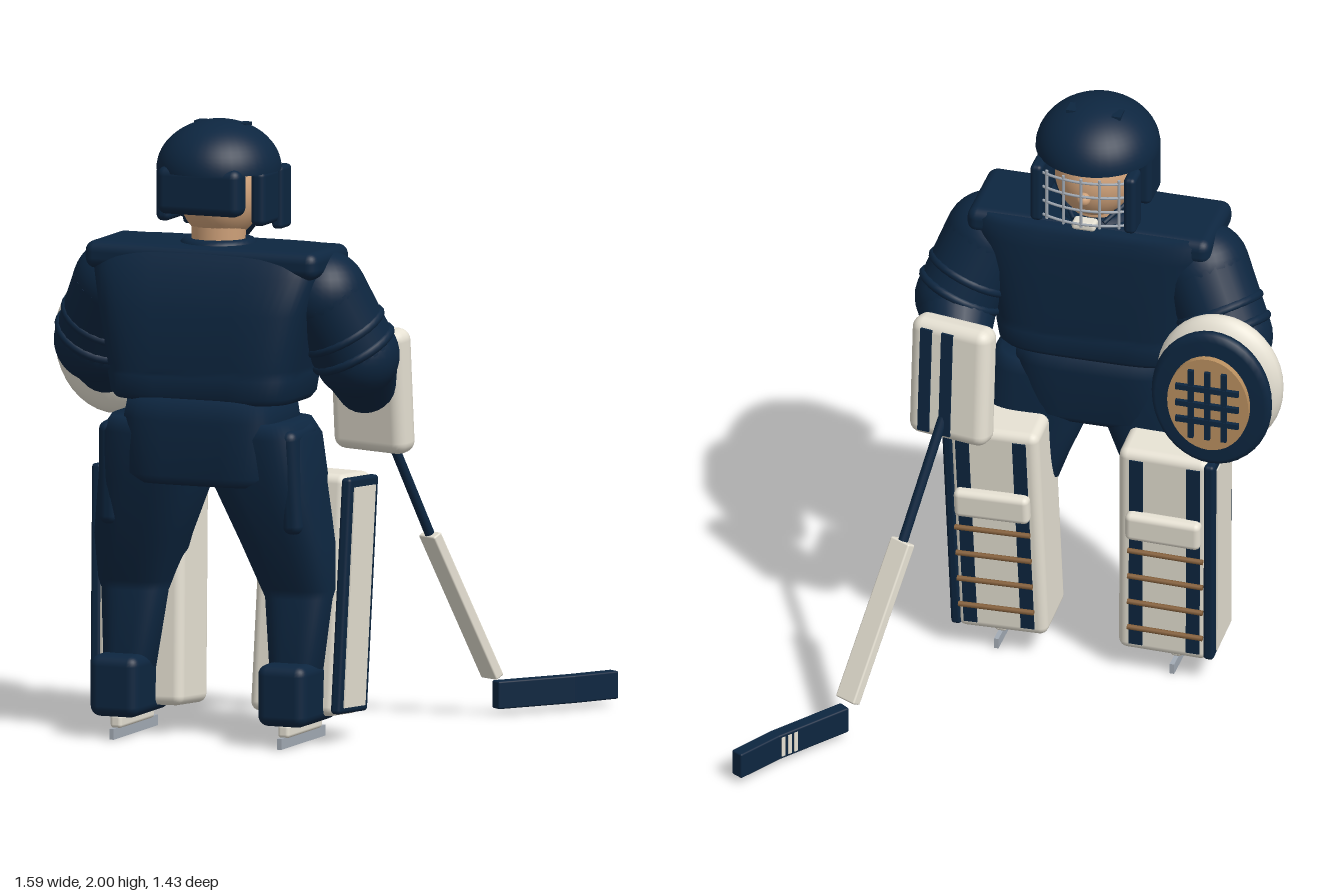
import * as THREE from 'three';
import { RoundedBoxGeometry } from 'three/addons/geometries/RoundedBoxGeometry.js';

const mat = (name, color) => new THREE.MeshStandardMaterial({ name, color });
const V = (x, y, z) => new THREE.Vector3(x, y, z);
const C = -0.097; // x of the body's mirror plane

export function createModel() {
  const navy = mat('navy', 0x0d2640);
  const white = mat('offWhite', 0xe6e1d3);
  const skin = mat('skin', 0xd0a27a);
  const tan = mat('tanLeather', 0xb98f5f);
  const brown = mat('brownStrap', 0x86613c);
  const steel = mat('steel', 0xa3abb5);
  const model = new THREE.Group();
  model.name = 'goalkeeper';

  const add = (name, geo, m, p = [0, 0, 0], parent = model) => {
    const mesh = new THREE.Mesh(geo, m);
    mesh.name = name;
    mesh.position.set(...p);
    parent.add(mesh);
    return mesh;
  };
  const box = (name, m, size, p, r = 0.02, parent = model) =>
    add(name, r ? new RoundedBoxGeometry(...size, 3, r) : new THREE.BoxGeometry(...size), m, p, parent);

  // Box from a to b: w across horizontally, t in the remaining direction
  const beam = (name, m, a, b, w, t, r = 0) => {
    const d = b.clone().sub(a), len = d.length();
    d.normalize();
    const side = d.clone().cross(V(0, 1, 0)).normalize();
    const mesh = box(name, m, [w, len, t], a.clone().lerp(b, 0.5).toArray(), r);
    mesh.quaternion.setFromRotationMatrix(new THREE.Matrix4().makeBasis(side, d, side.clone().cross(d)));
    return mesh;
  };
  // Tapered round part from a to b
  const rod = (name, m, a, b, ra, rb, parent = model, seg = 24) => {
    const d = b.clone().sub(a);
    const mesh = add(name, new THREE.CylinderGeometry(rb, ra, d.length(), seg), m, a.clone().lerp(b, 0.5).toArray(), parent);
    mesh.quaternion.setFromUnitVectors(V(0, 1, 0), d.normalize());
    return mesh;
  };
  const ball = (name, m, p, r, scale = [1, 1, 1], parent = model) => {
    const mesh = add(name, new THREE.SphereGeometry(r, 32, 20), m, p, parent);
    mesh.scale.set(...scale);
    return mesh;
  };
  // Superellipse sections [y, x, z, halfX, halfZ], bottom to top, capped
  const loft = (name, m, rows, e = 0.5, n = 48) => {
    const pos = [], idx = [], first = rows[0], last = rows[rows.length - 1];
    const pw = v => Math.sign(v) * Math.abs(v) ** e;
    for (const [y, x, z, hx, hz] of rows)
      for (let i = 0; i < n; i++) {
        const a = (i / n) * Math.PI * 2;
        pos.push(x + hx * pw(Math.cos(a)), y, z + hz * pw(Math.sin(a)));
      }
    for (let r = 0; r < rows.length - 1; r++)
      for (let i = 0; i < n; i++) {
        const a = r * n + i, b = r * n + (i + 1) % n;
        idx.push(a, a + n, b, b, a + n, b + n);
      }
    const lo = rows.length * n, top = (rows.length - 1) * n;
    pos.push(first[1], first[0], first[2], last[1], last[0], last[2]);
    for (let i = 0; i < n; i++) {
      const j = (i + 1) % n;
      idx.push(lo, i, j, lo + 1, top + j, top + i);
    }
    const g = new THREE.BufferGeometry();
    g.setAttribute('position', new THREE.Float32BufferAttribute(pos, 3));
    g.setIndex(idx);
    g.computeVertexNormals();
    return add(name, g, m);
  };

  // Jersey, shoulder yoke and pelvis
  loft('torso', navy, [
    [1.11, C, 0.515, 0.3, 0.18], [1.13, C, 0.515, 0.315, 0.197], [1.19, C, 0.515, 0.325, 0.2],
    [1.2, C, 0.515, 0.318, 0.19], [1.22, C, 0.515, 0.325, 0.2], [1.4, C, 0.51, 0.36, 0.2],
    [1.52, C, 0.49, 0.39, 0.185], [1.58, C, 0.475, 0.39, 0.165], [1.6, C, 0.475, 0.37, 0.15]], 0.45);
  box('shoulderYoke', navy, [0.81, 0.09, 0.3], [C, 1.56, 0.49], 0.035);
  loft('pelvis', navy, [
    [0.84, C, 0.535, 0.22, 0.15], [0.87, C, 0.535, 0.25, 0.175], [1.05, C, 0.53, 0.265, 0.185],
    [1.13, C, 0.525, 0.25, 0.18]], 0.45);
  const collar = add('collar', new THREE.TorusGeometry(0.1, 0.025, 12, 32), navy, [C, 1.595, 0.475]);
  collar.rotation.x = Math.PI / 2;

  // Head
  rod('neck', skin, V(C, 1.56, 0.475), V(C, 1.7, 0.475), 0.085, 0.09);
  ball('head', skin, [C, 1.76, 0.455], 0.14, [0.95, 1.08, 1.05]);
  ball('nose', skin, [C, 1.735, 0.3], 0.022);
  // Helmet
  const dome = new THREE.SphereGeometry(0.2, 40, 16, 0, Math.PI * 2, 0, Math.PI / 2);
  add('helmetDome', dome, navy, [C, 1.84, 0.473]).scale.set(1, 0.8, 1.035);
  const under = add('helmetUnderside', new THREE.CircleGeometry(0.2, 40), navy, [C, 1.84, 0.473]);
  under.rotation.x = Math.PI / 2;
  box('helmetBackPlate', navy, [0.29, 0.155, 0.085], [C, 1.785, 0.615], 0.03);
  for (const s of [-1, 1]) {
    box('earGuard', navy, [0.05, 0.18, 0.135], [C + s * 0.165, 1.76, 0.485], 0.02);
    box('cagePost', navy, [0.04, 0.205, 0.085], [C + s * 0.155, 1.74, 0.325], 0.015);
    rod('chinStrap', navy, V(C + s * 0.14, 1.69, 0.47), V(C + s * 0.05, 1.62, 0.36), 0.008, 0.008, model, 8);
    box('helmetVent', navy, [0.03, 0.012, 0.05], [C + s * 0.075, 1.983, 0.44], 0);
  }
  box('chinCup', white, [0.08, 0.03, 0.05], [C, 1.635, 0.315], 0.012);
  // Face cage, bowed forward
  const cageZ = x => 0.268 + 1.6 * x * x;
  for (let i = 0; i < 4; i++) {
    const y = 1.66 + i * 0.052;
    const pts = [-0.165, -0.09, 0, 0.09, 0.165].map(x => V(C + x, y, cageZ(x)));
    add('cageBar', new THREE.TubeGeometry(new THREE.CatmullRomCurve3(pts), 16, 0.005, 6), steel);
  }
  for (const x of [-0.12, -0.06, 0, 0.06, 0.12])
    rod('cageBar', steel, V(C + x, 1.65, cageZ(x)), V(C + x, 1.83, cageZ(x)), 0.005, 0.005, model, 6);

  // Arms
  const arms = [
    [V(0.26, 1.45, 0.46), V(0.345, 1.25, 0.385), V(0.3, 1.12, 0.2)],
    [V(-0.455, 1.45, 0.46), V(-0.56, 1.25, 0.385), V(-0.585, 1.14, 0.23)]];
  for (const [a, b, c] of arms) {
    ball('shoulder', navy, a.toArray(), 0.145);
    rod('upperArm', navy, a, b, 0.145, 0.138);
    ball('elbow', navy, b.toArray(), 0.138);
    rod('forearm', navy, b, c, 0.135, 0.095);
    for (const t of [0.6, 0.9]) {
      const ring = add('sleeveFold', new THREE.TorusGeometry(0.132, 0.016, 10, 32), navy, a.clone().lerp(b, t).toArray());
      ring.quaternion.setFromUnitVectors(V(0, 0, 1), b.clone().sub(a).normalize());
    }
  }

  // Legs, skates and pads
  for (const s of [-1, 1]) {
    const X = o => C + s * o;
    loft('leg', navy, [
      [0.2, X(0.29), 0.5, 0.08, 0.1], [0.47, X(0.285), 0.455, 0.115, 0.1], [0.5, X(0.283), 0.46, 0.125, 0.105],
      [0.65, X(0.255), 0.49, 0.15, 0.13], [0.84, X(0.2), 0.515, 0.175, 0.155],
      [1.0, X(0.185), 0.53, 0.17, 0.165], [1.05, X(0.17), 0.53, 0.15, 0.155]], 0.65);
    const hip = box('hipFlap', navy, [0.07, 0.34, 0.2], [X(0.315), 0.865, 0.555], 0.03);
    hip.rotation.set(0.08, 0, s * 0.03);
    box('skateBoot', navy, [0.17, 0.2, 0.3], [X(0.292), 0.17, 0.515], 0.035);
    box('bladeHolder', white, [0.04, 0.045, 0.28], [X(0.292), 0.055, 0.495], 0.012);
    box('skateBlade', steel, [0.015, 0.035, 0.36], [X(0.292), 0.0175, 0.485], 0);

    const pad = new THREE.Group();
    pad.name = 'legPad';
    pad.position.set(X(0.287), 0.475, 0.367);
    pad.rotation.set(-0.07, 0, -s * 0.022);
    model.add(pad);
    box('padBody', white, [0.3, 0.78, 0.23], [-s * 0.012, 0, 0], 0.03, pad);
    box('padOuterBinding', navy, [0.035, 0.76, 0.232], [s * 0.14, 0, 0], 0.012, pad);
    box('padOuterPanel', white, [0.008, 0.71, 0.17], [s * 0.158, -0.005, 0.003], 0, pad);
    for (const x of [-0.1, 0.09]) box('padStripe', navy, [0.045, 0.72, 0.008], [s * x, 0, -0.115], 0, pad);
    box('kneeRoll', white, [0.25, 0.1, 0.05], [-s * 0.005, 0.115, -0.128], 0.02, pad);
    for (let i = 0; i < 4; i++) {
      const y = -0.29 + i * 0.1;
      rod('padLace', brown, V(-0.125, y, -0.125), V(0.125, y, -0.125), 0.009, 0.009, pad, 8);
    }
  }

  // Catching glove with laced pocket
  const glove = new THREE.Group();
  glove.name = 'catchingGlove';
  glove.position.set(-0.59, 1.215, 0);
  model.add(glove);
  ball('gloveBack', white, [0, 0.005, 0.16], 0.21, [1, 1.15, 0.4], glove);
  const rim = [[0, -0.028], [0.18, -0.028], [0.196, -0.014], [0.2, 0], [0.196, 0.014], [0.18, 0.028], [0, 0.028]]
    .map(p => new THREE.Vector2(...p));
  const ring = add('gloveRim', new THREE.LatheGeometry(rim, 40), navy, [0, 0, 0.06], glove);
  ring.rotation.x = Math.PI / 2;
  ring.scale.z = 1.22;
  const pocket = add('glovePocket', new THREE.CylinderGeometry(0.135, 0.135, 0.03, 40), tan, [0, 0, 0.025], glove);
  pocket.rotation.x = Math.PI / 2;
  pocket.scale.z = 1.25;
  for (const i of [-1, 0, 1]) {
    box('pocketLace', navy, [0.018, 0.25, 0.014], [i * 0.055, 0, 0.004], 0, glove);
    box('pocketLace', navy, [0.21, 0.018, 0.014], [0, i * 0.06, 0.002], 0, glove);
  }

  // Blocking glove
  const blocker = new THREE.Group();
  blocker.name = 'blocker';
  blocker.position.set(0.287, 1.105, 0.12);
  blocker.rotation.set(0.1, -0.2, 0);
  model.add(blocker);
  box('blockerBoard', white, [0.28, 0.41, 0.1], [0, 0, 0], 0.04, blocker);
  for (const x of [0, 0.075]) box('blockerStripe', navy, [0.04, 0.36, 0.009], [x, 0, -0.052], 0, blocker);

  // Stick
  const grip = V(0.285, 1.08, 0.11), neck = V(0.392, 0.61, -0.1), heel = V(0.513, 0.125, -0.33);
  rod('stickShaft', navy, grip, neck, 0.016, 0.016, model, 12);
  beam('stickPaddle', white, neck, heel, 0.08, 0.035, 0.006);
  const b0 = V(0.52, 0.065, -0.335), b1 = V(0.69, 0.065, -0.56), b2 = V(0.777, 0.065, -0.708);
  beam('stickBlade', navy, b0, b1.clone().lerp(b2, 0.06), 0.045, 0.09, 0.006);
  beam('stickBladeTip', navy, b1.clone().lerp(b0, 0.03), b2, 0.045, 0.09, 0.006);
  const out = b1.clone().sub(b0).cross(V(0, 1, 0)).normalize().multiplyScalar(-0.023);
  for (const t of [0.74, 0.83, 0.92])
    beam('bladeStripe', white, b0.clone().lerp(b1, t).add(out), b0.clone().lerp(b1, t + 0.05).add(out), 0.005, 0.07);

  return model;
}
